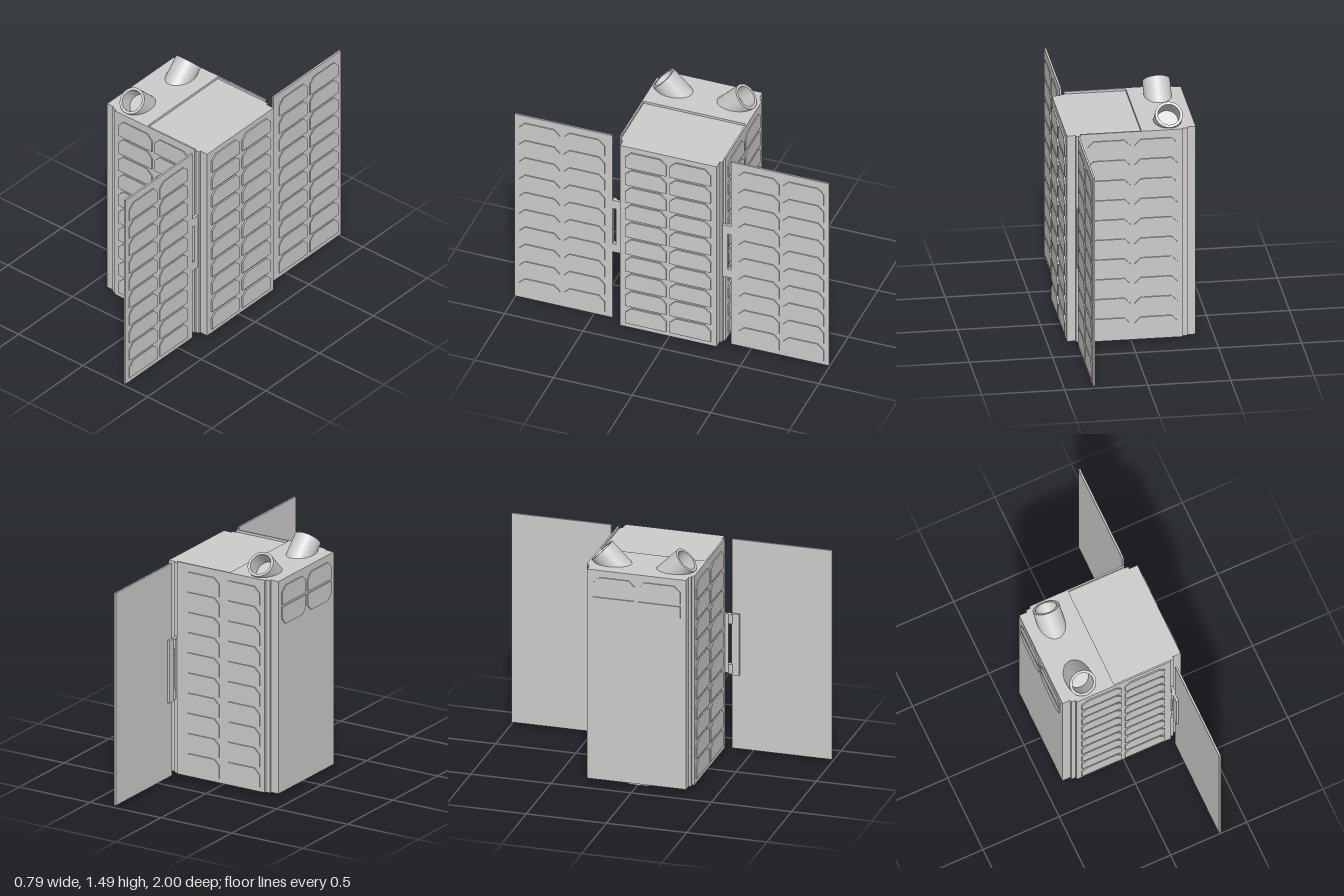
import * as THREE from 'three';

const mat = new THREE.MeshStandardMaterial({ color: 0xcccccc, side: THREE.DoubleSide });

function add(parent, name, geo, x = 0, y = 0, z = 0) {
  const m = new THREE.Mesh(geo, mat);
  m.name = name;
  m.position.set(x, y, z);
  parent.add(m);
  return m;
}

function box(parent, name, x0, x1, y0, y1, z0, z1) {
  return add(parent, name, new THREE.BoxGeometry(x1 - x0, y1 - y0, z1 - z0),
    (x0 + x1) / 2, (y0 + y1) / 2, (z0 + z1) / 2);
}

// Horizontal outline, symmetric in z, raised from y0 to y1
function slab(parent, name, half, y0, y1, holes = []) {
  const pts = [...half, ...half.map(([x, z]) => [x, -z]).reverse()];
  const shape = new THREE.Shape(pts.map(([x, z]) => new THREE.Vector2(x, z)));
  for (const [x, z, rx, rz] of holes) {
    const p = new THREE.Path();
    p.absellipse(x, z, rx, rz, 0, Math.PI * 2, true);
    shape.holes.push(p);
  }
  const geo = new THREE.ExtrudeGeometry(shape, { depth: y1 - y0, bevelEnabled: false, curveSegments: 32 });
  return add(parent, name, geo.rotateX(-Math.PI / 2), 0, y0, 0);
}

// Solar cell with two clipped corners, standing on y = 0 and facing +z
function cellGeometry(depth) {
  const w = 0.13, h = 0.114, c = 0.037;
  const shape = new THREE.Shape([[-w, 0], [w, 0], [w, h - c], [w - c, h], [c - w, h], [-w, h - c]]
    .map(([x, y]) => new THREE.Vector2(x, y)));
  return new THREE.ExtrudeGeometry(shape, { depth, bevelEnabled: false });
}

// Two columns of cells from the given row upwards
function cellArray(parent, name, rows, depth = 0.009) {
  const g = new THREE.Group();
  g.name = name;
  const geo = cellGeometry(depth);
  for (const row of rows)
    for (const s of [-1, 1]) add(g, 'solarCell', geo, s * 0.142, 0.046 + row * 0.1278, 0);
  parent.add(g);
  return g;
}

export function createModel() {
  const model = new THREE.Group();
  model.name = 'smallSatellite';
  const allRows = Array.from({ length: 10 }, (_, i) => i);

  // Body with stepped corners
  const left = [[-0.39, 0.308], [-0.338, 0.308], [-0.338, 0.322], [-0.31, 0.322], [-0.31, 0.335]];
  const section = [...left, [0.31, 0.335], [0.31, 0.322], [0.333, 0.322], [0.333, 0.308], [0.386, 0.308]];
  const ringX = -0.1625;
  const ports = [1, -1].map(s => [-0.235, s * 0.195, 0.075, 0.106]);
  slab(model, 'bodyBase', section, 0.015, 0.12, [[ringX, 0, 0.18, 0.18]]);
  slab(model, 'bodyCore', section, 0.12, 1.30);
  slab(model, 'bodyTop', section, 1.30, 1.345, ports);
  slab(model, 'roofPlate', [...left, [-0.06, 0.335]], 1.345, 1.36, ports);
  for (const s of [-1, 1]) {
    const z = [s * 0.325, s * 0.335].sort((a, b) => a - b);
    box(model, 'roofRail', -0.06, 0.31, 1.345, 1.36, ...z);
  }
  box(model, 'bottomHatch', 0.1, 0.36, 0.009, 0.016, -0.27, 0.27);

  // Cells on the body faces
  cellArray(model, 'frontCells', allRows).position.set(-0.005, 0, 0.333);
  const back = cellArray(model, 'backCells', allRows);
  back.position.set(-0.005, 0, -0.333);
  back.rotation.y = Math.PI;
  const side = cellArray(model, 'leftCells', allRows);
  side.position.x = 0.386;
  side.rotation.y = Math.PI / 2;
  const upper = cellArray(model, 'rightCells', [9]);
  upper.position.set(-0.388, 0.006, 0);
  upper.rotation.y = -Math.PI / 2;
  // Lower pair is turned upside down
  const lower = cellArray(upper, 'rightLowerCells', [0]);
  lower.rotation.z = Math.PI;
  lower.position.y = 0.046 * 2 + 9 * 0.1278 - 0.014;

  for (const s of [1, -1]) {
    // Tilted tube with a recessed floor
    const tube = new THREE.Group();
    tube.name = 'tiltedTube';
    const wall = [[0.066, -0.1], [0.066, 0], [0.083, 0], [0.083, -0.2]];
    const walls = [wall.slice(0, 2), wall.slice(1, 3), wall.slice(2, 4)];
    for (const seg of walls)
      add(tube, 'tubeWall', new THREE.LatheGeometry(seg.map(p => new THREE.Vector2(...p)), 40));
    add(tube, 'tubeFloor', new THREE.CircleGeometry(0.066, 40).rotateX(-Math.PI / 2), 0, -0.1, 0);
    tube.position.set(-0.235, 1.427, s * 0.263);
    tube.rotation.x = s * Math.PI / 4;
    model.add(tube);

    // Deployed wing panel
    const wing = new THREE.Group();
    wing.name = s > 0 ? 'frontWing' : 'backWing';
    const span = (name, x0, x1, y0, y1, z0, z1) =>
      box(wing, name, x0, x1, y0, y1, Math.min(s * z0, s * z1), Math.max(s * z0, s * z1));
    span('wingPanel', 0.318, 0.33, 0.015, 1.36, 0.377, 1);
    const cells = cellArray(wing, 'wingCells', allRows, 0.006);
    cells.position.set(0.33, 0, s * 0.6975);
    cells.rotation.y = Math.PI / 2;

    // Hinge between body and wing
    span('bodyHingeLeaf', 0.31, 0.327, 0.5, 0.88, 0.31, 0.355);
    span('wingHingeLeaf', 0.303, 0.318, 0.49, 0.885, 0.377, 0.425);
    for (const y of [0.5, 0.82]) {
      span('hingeLug', 0.307, 0.327, y, y + 0.06, 0.35, 0.38);
      add(wing, 'hingePin', new THREE.CylinderGeometry(0.014, 0.014, 0.06, 16), 0.309, y + 0.03, s * 0.37);
    }
    model.add(wing);
  }

  // Nozzle ring, bowl, hub and three spokes underneath
  const nozzle = new THREE.Group();
  nozzle.name = 'bottomNozzle';
  nozzle.position.x = ringX;
  const ring = new THREE.Shape().absarc(0, 0, 0.212, 0, Math.PI * 2);
  ring.holes.push(new THREE.Path().absarc(0, 0, 0.172, 0, Math.PI * 2, true));
  add(nozzle, 'nozzleRing', new THREE.ExtrudeGeometry(ring,
    { depth: 0.016, bevelEnabled: false, curveSegments: 40 }).rotateX(-Math.PI / 2));
  const bowl = [[0.176, 0.012], [0.16, 0.05], [0.12, 0.085], [0.06, 0.105], [0, 0.11]];
  add(nozzle, 'nozzleBowl', new THREE.LatheGeometry(bowl.map(p => new THREE.Vector2(...p)), 40));
  add(nozzle, 'nozzleHub', new THREE.CylinderGeometry(0.07, 0.07, 0.016, 32), 0, 0.01, 0);
  for (const a of [Math.PI, Math.PI / 3, -Math.PI / 3]) {
    const spoke = add(nozzle, 'nozzleSpoke', new THREE.BoxGeometry(0.15, 0.014, 0.03),
      Math.cos(a) * 0.125, 0.0085, -Math.sin(a) * 0.125);
    spoke.rotation.y = a;
  }
  model.add(nozzle);
  return model;
}
